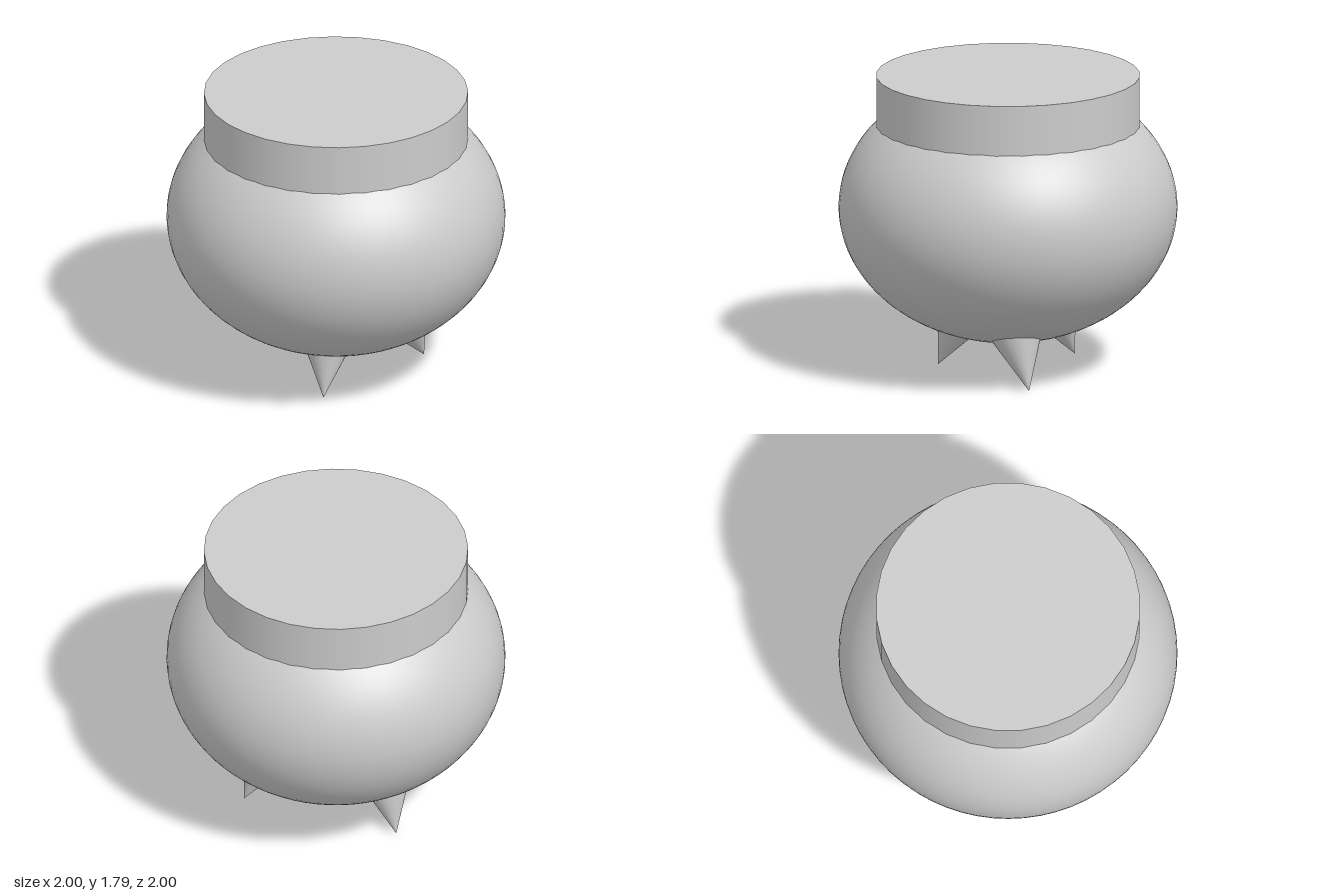
import * as THREE from 'three';

export function createModel() {
  const group = new THREE.Group();
  const material = new THREE.MeshStandardMaterial({ color: 0xcccccc });
  const add = (name, geometry) => {
    const mesh = new THREE.Mesh(geometry, material);
    mesh.name = name;
    group.add(mesh);
    return mesh;
  };

  // Squashed round belly
  const belly = add('belly', new THREE.SphereGeometry(1, 64, 48).scale(1, 0.795, 1));
  belly.position.y = 0.99;

  // Solid neck, sunk into the belly
  const neck = add('neck', new THREE.CylinderGeometry(0.78, 0.78, 0.4, 32));
  neck.position.y = 1.59;

  // Three splayed pointed feet: tip position, and axis running up into the belly
  const length = 0.4;
  const footGeometry = new THREE.ConeGeometry(length * 0.45, length, 32)
    .rotateX(Math.PI)
    .translate(0, length / 2, 0);
  const up = new THREE.Vector3(0, 1, 0);
  const feet = [
    ['frontFoot', [0, 0, 0.43], [0, 1, -0.46]],
    ['leftFoot', [0.48, 0, -0.27], [-0.36, 1, 0.35]],
    ['rightFoot', [-0.48, 0, -0.27], [0.36, 1, 0.35]],
  ];
  for (const [name, tip, axis] of feet) {
    const foot = add(name, footGeometry);
    foot.position.set(...tip);
    foot.quaternion.setFromUnitVectors(up, new THREE.Vector3(...axis).normalize());
  }

  return group;
}
